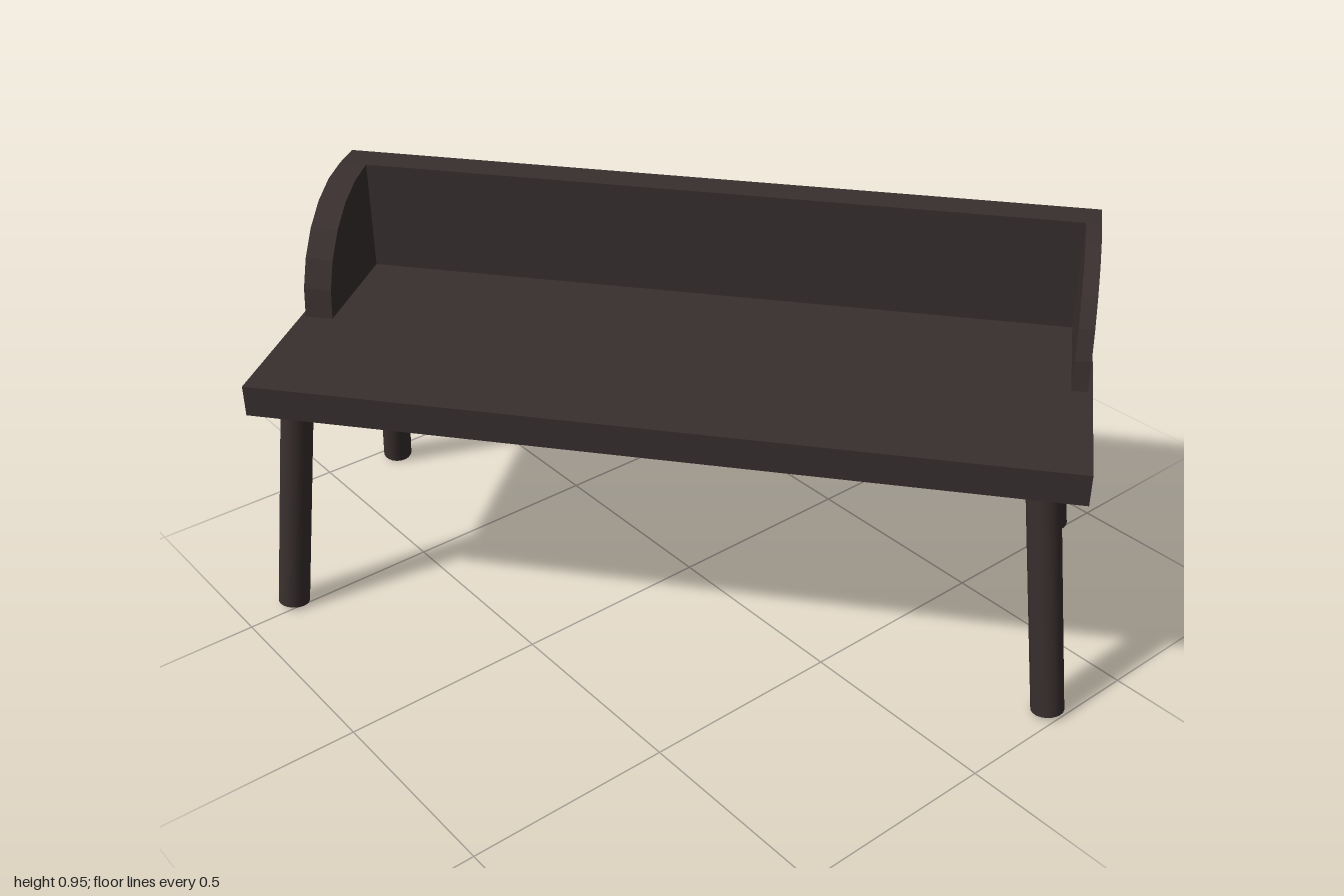
import * as THREE from 'three';

export function createModel() {
  const model = new THREE.Group();
  model.name = 'bench';
  const darkWood = new THREE.MeshStandardMaterial({ color: 0x382f2e });
  darkWood.name = 'darkWood';

  const add = (parent, name, geometry) => {
    const mesh = new THREE.Mesh(geometry, darkWood);
    mesh.name = name;
    parent.add(mesh);
    return mesh;
  };

  // The bench top stands turned on the floor
  const top = new THREE.Group();
  top.name = 'benchTop';
  top.position.set(-0.025, 0, 0.01);
  top.rotation.y = -0.886;
  model.add(top);

  // Seat board
  add(top, 'seat', new THREE.BoxGeometry(1.923, 0.077, 0.771)).position.y = 0.6335;

  // Backrest board
  const seatY = 0.672, topY = 0.952, height = topY - seatY;
  add(top, 'backrest', new THREE.BoxGeometry(1.9, height, 0.085))
    .position.set(0, seatY + height / 2, -0.324);

  // Quarter-round armrests, drawn in the z-y plane
  const arm = (name, outerX, thickness) => {
    const back = -0.2815, reach = 0.312, steps = 6;
    const shape = new THREE.Shape();
    shape.moveTo(back, seatY);
    for (let i = 0; i <= steps; i++) {
      const a = (i / steps) * Math.PI / 2;
      shape.lineTo(back + reach * Math.cos(a), seatY + height * Math.sin(a));
    }
    const geometry = new THREE.ExtrudeGeometry(shape, { depth: thickness, bevelEnabled: false });
    geometry.rotateY(-Math.PI / 2);
    add(top, name, geometry).position.x = outerX;
  };
  arm('leftArmrest', 0.95, 0.037);
  arm('rightArmrest', -0.88, 0.07);

  // Splayed round legs: top x, z and foot x, z
  const legs = {
    frontLeftLeg: [0.285, 0.87, 0.285, 0.965],
    backLeftLeg: [0.765, 0.47, 0.885, 0.473],
    backRightLeg: [-0.33, -0.855, -0.3, -0.96],
    frontRightLeg: [-0.785, -0.515, -0.867, -0.525],
  };
  for (const [name, [tx, tz, fx, fz]] of Object.entries(legs)) {
    const head = new THREE.Vector3(tx, 0.605, tz);
    const foot = new THREE.Vector3(fx, 0.008, fz);
    const axis = head.clone().sub(foot);
    const leg = add(model, name, new THREE.CylinderGeometry(0.039, 0.039, axis.length(), 20));
    leg.position.copy(head).add(foot).multiplyScalar(0.5);
    leg.quaternion.setFromUnitVectors(new THREE.Vector3(0, 1, 0), axis.normalize());
  }
  return model;
}
